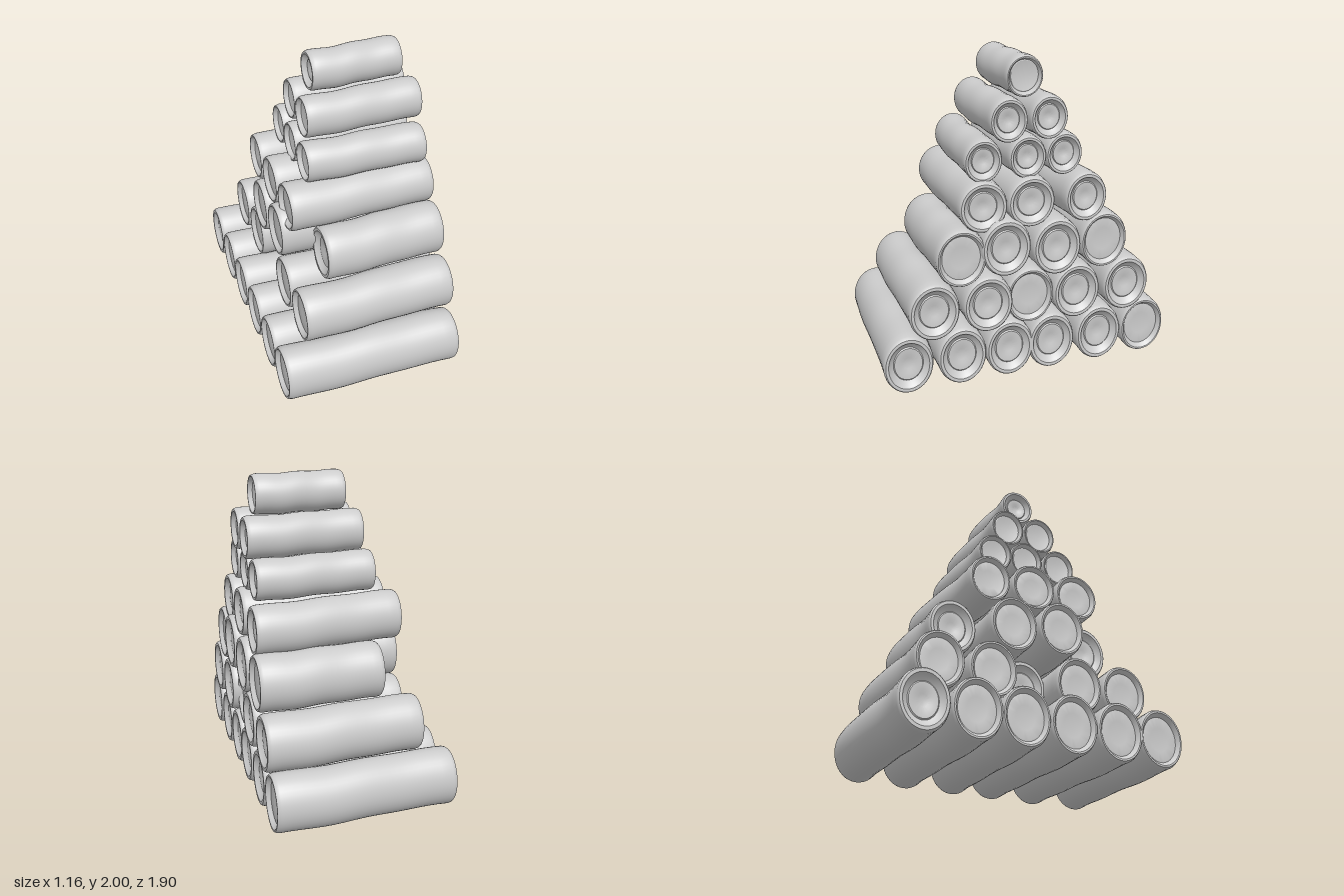
import * as THREE from 'three';
import { toCreasedNormals } from 'three/addons/utils/BufferGeometryUtils.js';

const material = new THREE.MeshStandardMaterial({ color: 0xcccccc });

// End face from centre to rim: [radius fraction, depth behind the end]
const SMALL_FACE = [[0, 0.038], [0.2, 0.036], [0.33, 0.028], [0.56, 0.026], [0.6, 0.032], [0.78, 0.01], [0.82, 0], [0.93, 0], [0.97, 0.008], [1, 0.025]];
const LARGE_FACE = [[0, 0.034], [0.4, 0.034], [0.72, 0.026], [0.76, 0.028], [0.85, 0.006], [0.88, 0], [0.94, 0], [0.97, 0.008], [1, 0.025]];

// One log along x: a turned profile, stretched to an oval and gently bent
function makeLog({ x0, x1, y, zBack, zFront, rz, ry, large }) {
  const length = x1 - x0;
  const front = large ? LARGE_FACE : SMALL_FACE;
  const back = large ? SMALL_FACE : LARGE_FACE;
  const profile = back.map(([r, d]) => new THREE.Vector2(r, d));
  for (let i = 1; i < 16; i++) {
    profile.push(new THREE.Vector2(1, 0.025 + (length - 0.05) * i / 16));
  }
  for (const [r, d] of [...front].reverse()) profile.push(new THREE.Vector2(r, length - d));

  const geometry = new THREE.LatheGeometry(profile, 40);
  geometry.rotateZ(-Math.PI / 2);
  const pos = geometry.attributes.position;
  for (let i = 0; i < pos.count; i++) {
    const x = pos.getX(i);
    const t = x / length;
    const wave = Math.sin(t * Math.PI * 2);
    pos.setXYZ(
      i,
      x0 + x,
      y + pos.getY(i) * ry + 0.003 * Math.sin(t * Math.PI * 5),
      zBack + (zFront - zBack) * t + 0.009 * wave + pos.getZ(i) * rz * (1 - 0.025 * wave)
    );
  }
  geometry.deleteAttribute('normal');
  return new THREE.Mesh(toCreasedNormals(geometry, 0.5), material);
}

// Rows from the ground up; each log is [z at -x end, z at +x end, overrides]
const ROWS = [
  { x0: -0.58, x1: 0.56, y: 0.192, rz: 0.155, ry: 0.186, logs: [
    [0.74, 0.79], [0.45, 0.45], [0.14, 0.14], [-0.17, -0.14], [-0.47, -0.47], [-0.785, -0.785, { large: true }]] },
  { x0: -0.41, x1: 0.575, y: 0.518, rz: 0.157, ry: 0.18, logs: [
    [0.61, 0.625], [0.285, 0.285], [0, 0, { x0: -0.21, x1: 0.54, large: true }], [-0.295, -0.3], [-0.635, -0.645]] },
  { x0: -0.415, x1: 0.58, y: 0.835, rz: 0.157, ry: 0.18, logs: [
    [0.45, 0.45, { x0: -0.21, x1: 0.57, large: true }], [0.17, 0.17, { y: 0.87 }], [-0.16, -0.16],
    [-0.48, -0.48, { x0: -0.21, x1: 0.57, large: true }]] },
  { x0: -0.385, x1: 0.55, y: 1.132, rz: 0.15, ry: 0.156, logs: [
    [0.3, 0.305], [-0.01, 0], [-0.31, -0.36, { rz: 0.137, y: 1.125 }]] },
  { x0: -0.25, x1: 0.505, y: 1.4, rz: 0.118, ry: 0.13, logs: [
    [0.25, 0.29], [0.01, 0.01], [-0.215, -0.225]] },
  { x0: -0.21, x1: 0.53, y: 1.637, rz: 0.118, ry: 0.132, logs: [
    [0.13, 0.14], [-0.105, -0.115]] },
  { x0: -0.13, x1: 0.445, y: 1.873, rz: 0.117, ry: 0.125, logs: [
    [0.008, 0.01, { large: true }]] },
];

export function createModel() {
  const pile = new THREE.Group();
  pile.name = 'logPile';
  ROWS.forEach(({ logs, ...size }, r) => {
    const row = new THREE.Group();
    row.name = `logRow${r + 1}`;
    logs.forEach(([zBack, zFront, extra], i) => {
      const log = makeLog({ ...size, zBack, zFront, ...extra });
      log.name = `log${i + 1}`;
      row.add(log);
    });
    pile.add(row);
  });
  return pile;
}
